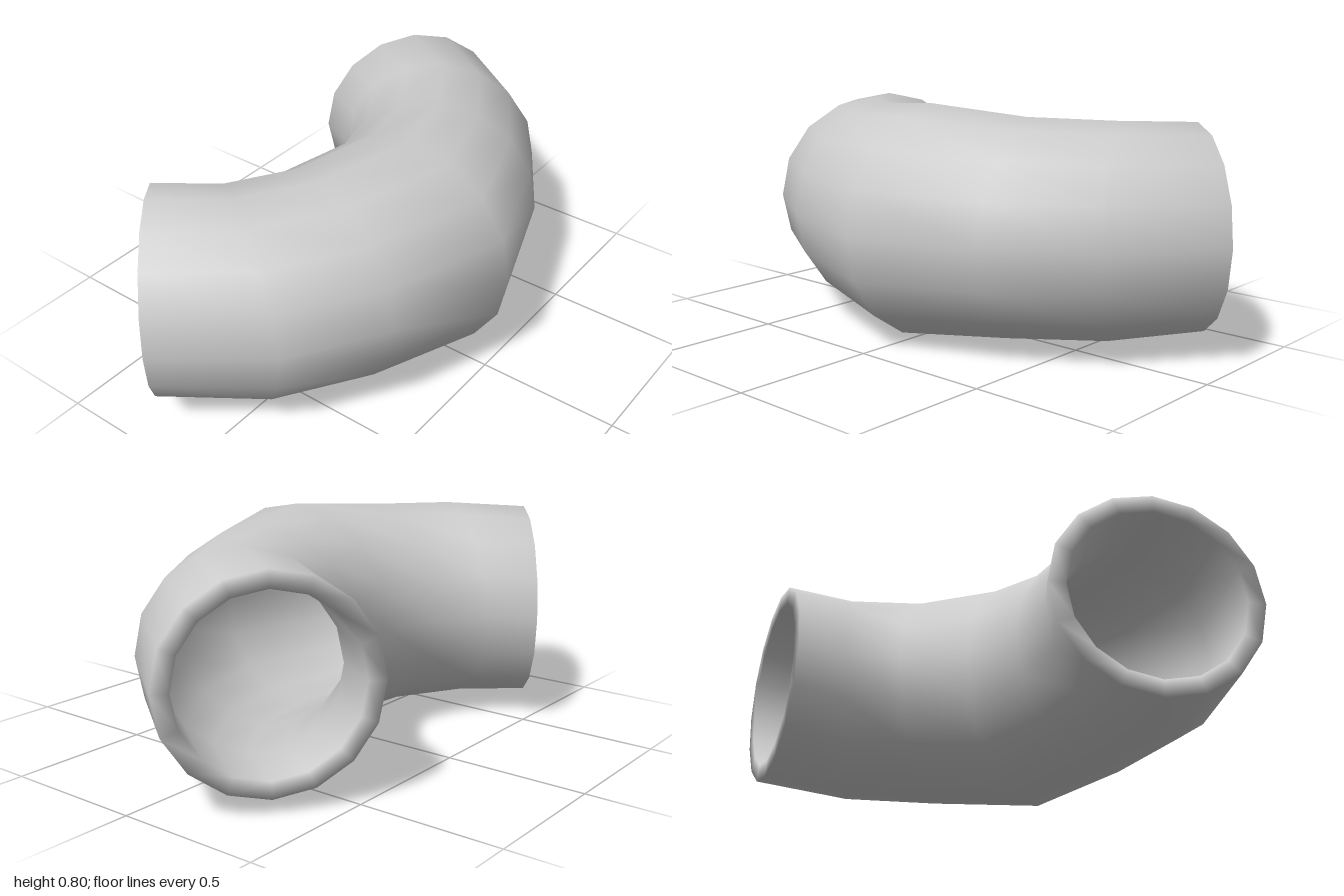
import * as THREE from 'three';

const SIDES = 16;
const WALL = 0.059;
const AXIS_Y = 0.403;

// Half of the bend: [inner x, inner z, outer x, outer z] of each cross-section
const HALF = [
  [-0.565, 0.455, -0.12, 1.0],
  [-0.415, 0.378, 0.21, 0.752],
  [-0.3, 0.218, 0.412, 0.43],
];
const MIDDLE = [-0.238, 0, 0.565, 0];

function ringPoints([ix, iz, ox, oz], inset) {
  const centre = new THREE.Vector3((ix + ox) / 2, AXIS_Y, (iz + oz) / 2);
  const across = new THREE.Vector3(ox - ix, 0, oz - iz);
  const radius = across.length() / 2 - inset;
  across.normalize();
  const points = [];
  for (let i = 0; i < SIDES; i++) {
    const a = (i / SIDES) * Math.PI * 2;
    const p = centre.clone().addScaledVector(across, Math.cos(a) * radius);
    p.y += Math.sin(a) * radius;
    points.push(p);
  }
  return points;
}

// Closed loop of rings: along the outer wall, over the rim and back inside
function elbowGeometry() {
  const mirrored = HALF.map(([a, b, c, d]) => [a, -b, c, -d]).reverse();
  const sections = [...HALF, MIDDLE, ...mirrored];
  const rings = [
    ...sections.map((s) => ringPoints(s, 0)),
    ...[...sections].reverse().map((s) => ringPoints(s, WALL)),
  ];
  const index = [];
  for (let k = 0; k < rings.length; k++) {
    const next = (k + 1) % rings.length;
    for (let i = 0; i < SIDES; i++) {
      const j = (i + 1) % SIDES;
      const a = k * SIDES + i, b = next * SIDES + i;
      const c = next * SIDES + j, d = k * SIDES + j;
      index.push(a, b, d, b, c, d);
    }
  }
  const geometry = new THREE.BufferGeometry().setFromPoints(rings.flat());
  geometry.setIndex(index);
  geometry.computeVertexNormals();
  return geometry;
}

export function createModel() {
  const group = new THREE.Group();
  group.name = 'pipeElbow';
  const material = new THREE.MeshStandardMaterial({ color: 0xcccccc });
  const pipe = new THREE.Mesh(elbowGeometry(), material);
  pipe.name = 'bentPipe';
  group.add(pipe);
  return group;
}
